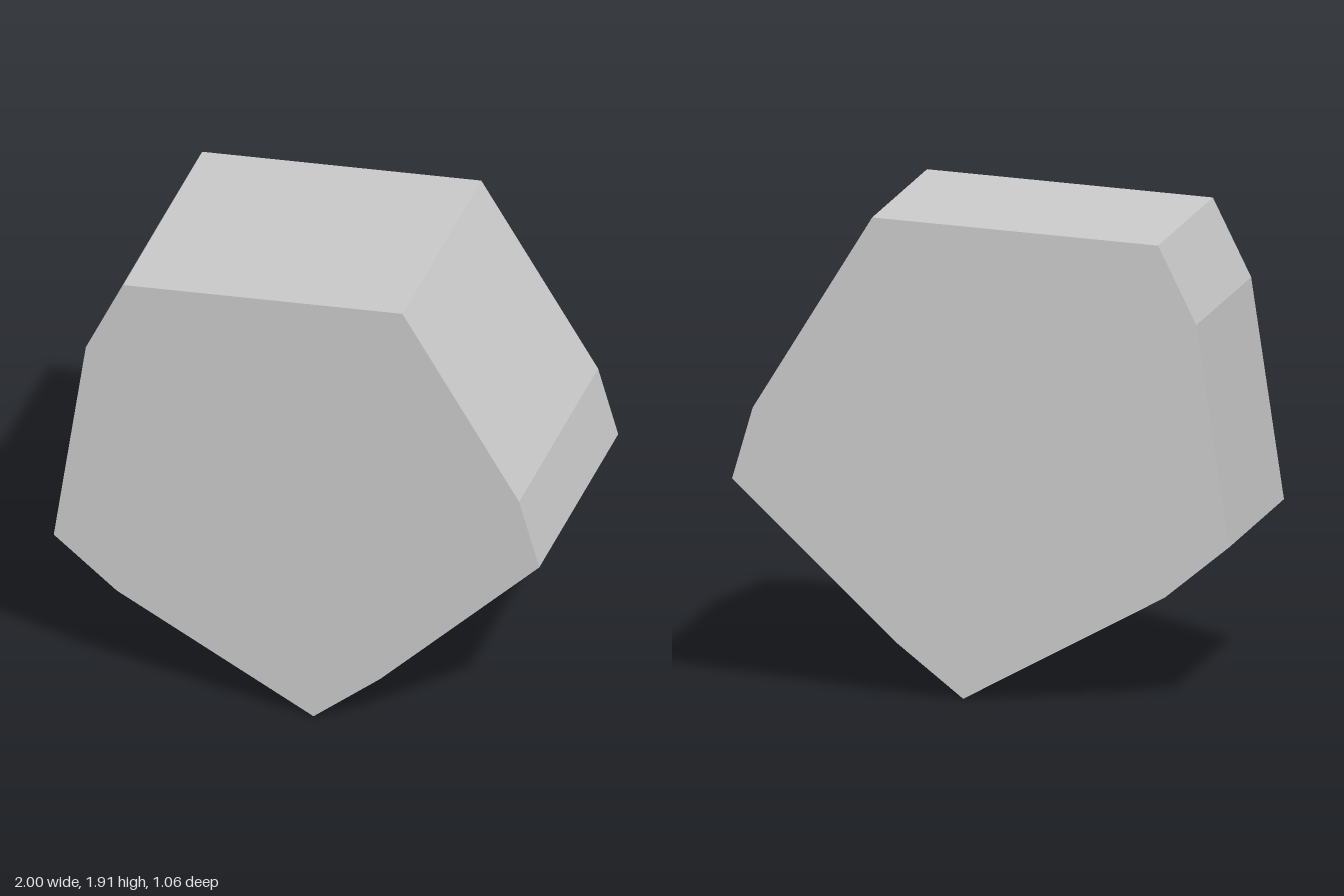
import * as THREE from 'three';

// Outline of the block, counter-clockwise from its lowest corner
const OUTLINE = [
  [0.07, 0], [0.345, 0.22], [1, 0.848], [0.917, 1.135], [0.436, 1.915],
  [-0.714, 1.845], [-0.868, 1.532], [-1, 0.647], [-0.74, 0.435],
];
const DEPTH = 1.064;

export function createModel() {
  const group = new THREE.Group();
  group.name = 'irregularPrism';

  // Solid nine-sided block, extruded front to back
  const shape = new THREE.Shape(OUTLINE.map(([x, y]) => new THREE.Vector2(x, y)));
  const geometry = new THREE.ExtrudeGeometry(shape, { depth: DEPTH, bevelEnabled: false });
  geometry.translate(0, 0, -DEPTH / 2);

  const material = new THREE.MeshStandardMaterial({ color: 0xcccccc, flatShading: true });
  const block = new THREE.Mesh(geometry, material);
  block.name = 'facetedBlock';
  group.add(block);
  return group;
}
